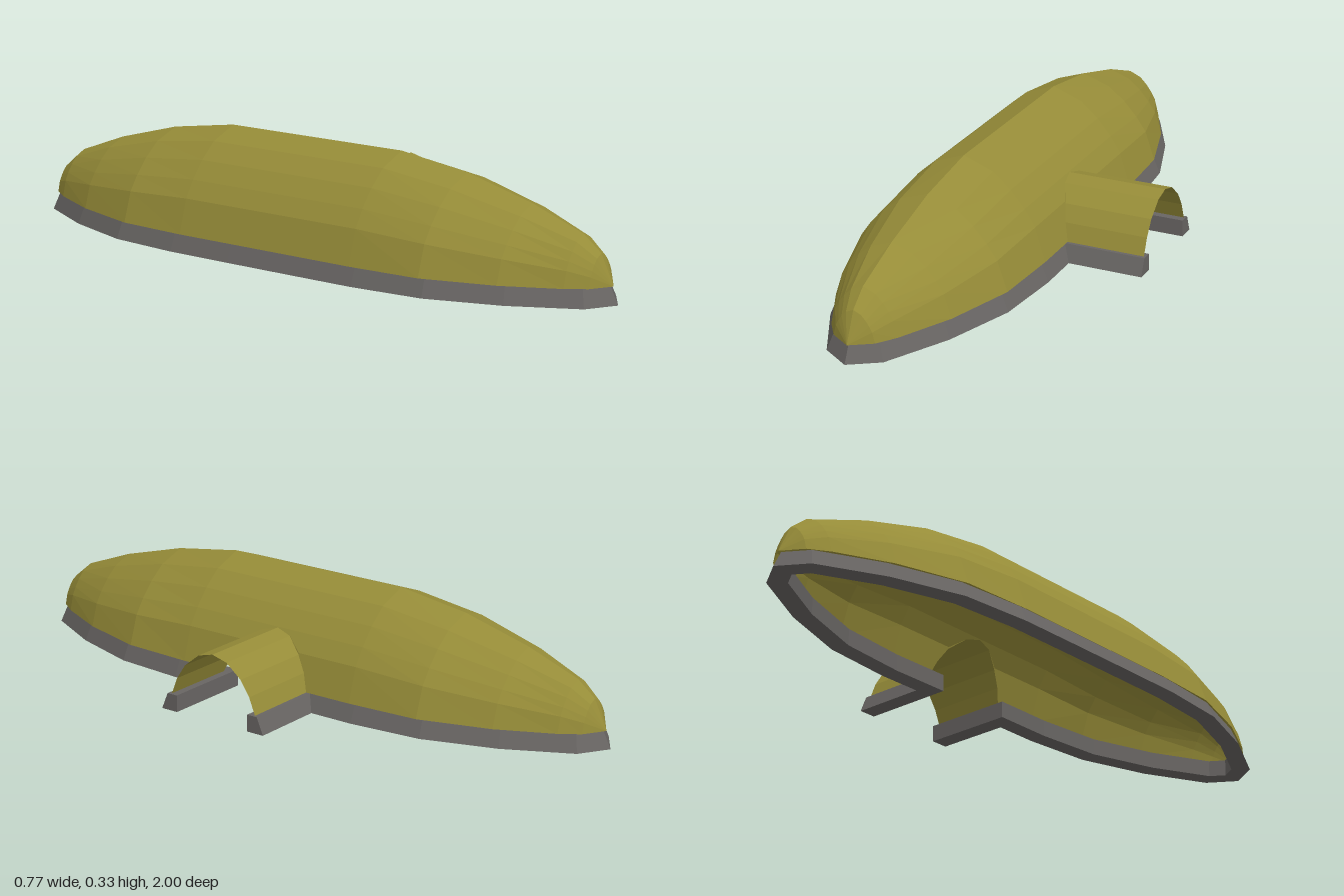
import * as THREE from 'three';

const CX = -0.11;    // hull centre line
const BASE = 0.05;   // top of the footing, where the skins begin

const olive = new THREE.MeshStandardMaterial({ color: 0x968c38, flatShading: true, side: THREE.DoubleSide });
const grey = new THREE.MeshStandardMaterial({ color: 0x686563, flatShading: true, side: THREE.DoubleSide });

// Linear interpolation in a list of [key, value...] with rising keys
function lookup(list, key, col = 1) {
  if (key <= list[0][0]) return list[0][col];
  for (let i = 1; i < list.length; i++) {
    const a = list[i - 1], b = list[i];
    if (key <= b[0]) return a[col] + (b[col] - a[col]) * (key - a[0]) / (b[0] - a[0]);
  }
  return list[list.length - 1][col];
}

// Faceted skin over rows of points, leaving out collapsed triangles
function skin(name, rows, material) {
  const pos = [];
  const tri = (a, b, c) => {
    const area = new THREE.Triangle(a, b, c).getArea();
    if (area > 1e-7) for (const p of [a, b, c]) pos.push(p.x, p.y, p.z);
  };
  for (let r = 0; r + 1 < rows.length; r++) {
    for (let i = 0; i + 1 < rows[r].length; i++) {
      const a = rows[r][i], b = rows[r][i + 1], c = rows[r + 1][i + 1], d = rows[r + 1][i];
      tri(a, b, c);
      tri(a, c, d);
    }
  }
  const geo = new THREE.BufferGeometry();
  geo.setAttribute('position', new THREE.Float32BufferAttribute(pos, 3));
  geo.computeVertexNormals();
  const mesh = new THREE.Mesh(geo, material);
  mesh.name = name;
  return mesh;
}

// Hull stations: distance from middle, half width at base, height of ridge
const stations = [
  [0, 0.252, 0.33], [0.3, 0.252, 0.33], [0.52, 0.24, 0.297], [0.73, 0.177, 0.24],
  [0.89, 0.1, 0.18], [0.945, 0.062, 0.135], [0.985, 0, BASE],
];
// Hull section: fraction of height, fraction of half width
const section = [[0, 1], [0.357, 0.875], [0.535, 0.745], [0.715, 0.575], [0.88, 0.36], [1, 0]];
// Tunnel arch: distance from its axis, height
const arch = [[0, 0.198], [0.05, 0.185], [0.1, 0.145], [0.13, 0.1], [0.15, BASE]];

const mirrored = (list) => [...list.slice(1).reverse().map((p) => [-p[0], ...p.slice(1)]), ...list];
const midHullX = (y) => CX + 0.252 * lookup(section, (y - BASE) / (0.33 - BASE));

function hull() {
  const zs = [...new Set([...mirrored(stations), ...mirrored(arch)].map((p) => p[0]))].sort((a, b) => a - b);
  const rows = zs.map((z) => {
    const w = lookup(stations, Math.abs(z)), h = lookup(stations, Math.abs(z), 2);
    const sill = Math.abs(z) < 0.15 ? lookup(arch, Math.abs(z)) : BASE;
    // the +x flank starts at the arch, which leaves the doorway open
    const right = section.map(([t]) => {
      const y = Math.max(BASE + t * (h - BASE), sill);
      const f = h > BASE ? (y - BASE) / (h - BASE) : 0;
      return new THREE.Vector3(CX + w * lookup(section, f), y, z);
    });
    const left = section.slice(0, -1).reverse().map(([t, f]) =>
      new THREE.Vector3(CX - w * f, BASE + t * (h - BASE), z));
    return [...right, ...left];
  });
  return skin('hullShell', rows, olive);
}

function tunnel() {
  const profile = mirrored(arch).reverse();
  const rows = [
    profile.map(([z, y]) => new THREE.Vector3(0.378, y, z)),
    profile.map(([z, y]) => new THREE.Vector3(midHullX(y), y, z)),
  ];
  return skin('entranceTunnel', rows, olive);
}

// Footing swept along the ground outline, from one tunnel side round to the other
function footing() {
  const side = [[0.271, 0.32], [0.252, 0.54], [0.182, 0.755], [0.085, 0.945]];
  const flip = (list, sx, sz) => list.map(([x, z]) => [x * sx, z * sz]);
  const back = [...side].reverse();
  const path = [
    [0.494, 0.182], [0.27, 0.182], ...side, [0, 1], ...flip(back, -1, 1),
    [-0.272, 0.11], [-0.272, -0.11],
    ...flip(side, -1, -1), [0, -1], ...flip(back, 1, -1), [0.27, -0.182], [0.494, -0.182],
  ].map(([x, z]) => new THREE.Vector2(x + CX, z));
  // inset from outline, height
  const profile = [[0, 0], [0.021, BASE], [0.055, BASE], [0.055, 0], [0, 0]];
  const inward = (a, b) => {
    const d = b.clone().sub(a).normalize();
    return new THREE.Vector2(-d.y, d.x);
  };
  const rows = path.map((p, i) => {
    const n1 = inward(path[Math.max(i - 1, 0)], path[Math.max(i, 1)]);
    const last = path.length - 1;
    const n2 = inward(path[Math.min(i, last - 1)], path[Math.min(i + 1, last)]);
    const mitre = n1.clone().add(n2).divideScalar(1 + n1.dot(n2));
    return profile.map(([o, y]) => new THREE.Vector3(p.x + mitre.x * o, y, p.y + mitre.y * o));
  });
  // end caps close onto the middle of the end rows
  const cap = (row) => {
    const mid = new THREE.Vector3();
    row.slice(0, 4).forEach((p) => mid.addScaledVector(p, 0.25));
    return row.map(() => mid);
  };
  return skin('footing', [cap(rows[0]), ...rows, cap(rows[rows.length - 1])], grey);
}

export function createModel() {
  const group = new THREE.Group();
  group.name = 'shelter';
  group.add(hull(), tunnel(), footing());
  return group;
}
